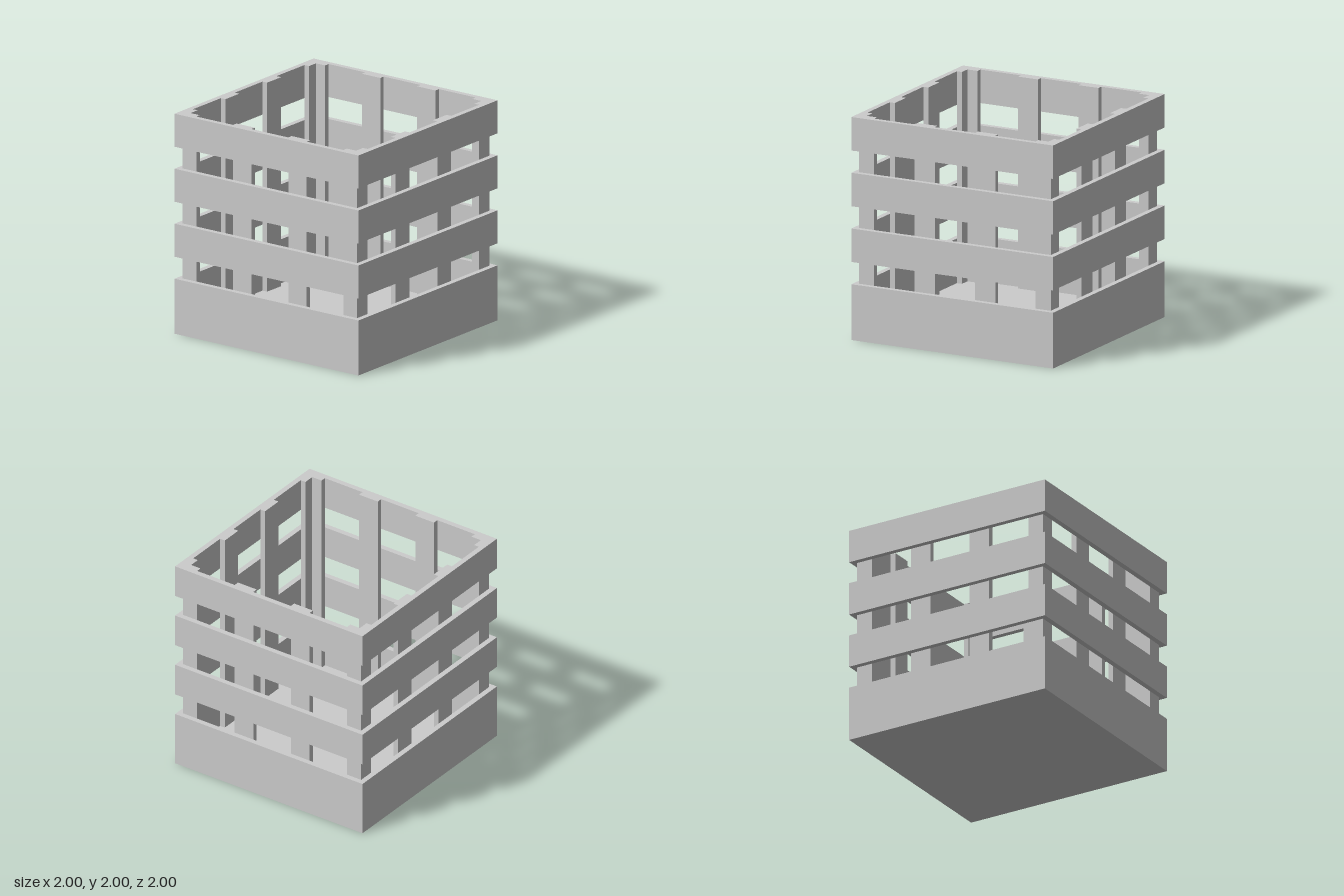
import * as THREE from 'three';

export function createModel() {
  const model = new THREE.Group();
  const material = new THREE.MeshStandardMaterial({ color: 0xcccccc, flatShading: true });
  const floorTop = 0.1;

  // Square outline, used for the floor and for the hole in each band
  const square = (Type, r) => new Type([[-r, -r], [r, -r], [r, r], [-r, r]].map(([x, y]) => new THREE.Vector2(x, y)));

  // Hollow square band between two heights
  function band(name, y0, y1) {
    const shape = square(THREE.Shape, 1);
    shape.holes.push(square(THREE.Path, 0.95));
    const geometry = new THREE.ExtrudeGeometry(shape, { depth: y1 - y0, bevelEnabled: false });
    geometry.rotateX(-Math.PI / 2).translate(0, y0, 0);
    const mesh = new THREE.Mesh(geometry, material);
    mesh.name = name;
    model.add(mesh);
  }
  band('baseWall', 0, 0.5);
  band('lowerSlat', 0.7, 1);
  band('middleSlat', 1.2, 1.5);
  band('topSlat', 1.7, 2);

  // Floor inside the base
  const floor = new THREE.Mesh(new THREE.BoxGeometry(1.9, floorTop, 1.9), material);
  floor.name = 'floor';
  floor.position.y = floorTop / 2;
  model.add(floor);

  // Upright of L-shaped or straight plan, from the floor to the rim
  function upright(name, points, parent) {
    const shape = new THREE.Shape(points.map(([x, z]) => new THREE.Vector2(x, -z)));
    const geometry = new THREE.ExtrudeGeometry(shape, { depth: 2 - floorTop, bevelEnabled: false });
    geometry.rotateX(-Math.PI / 2).translate(0, floorTop, 0);
    const mesh = new THREE.Mesh(geometry, material);
    mesh.name = name;
    parent.add(mesh);
  }

  // Each side carries two flat posts and one corner post
  ['front', 'left', 'back', 'right'].forEach((side, i) => {
    const group = new THREE.Group();
    group.name = side + 'Posts';
    for (const x of [-0.4, 0.2]) {
      upright('post', [[x, 0.95], [x + 0.2, 0.95], [x + 0.2, 0.9], [x, 0.9]], group);
    }
    upright('cornerPost', [[0.8, 0.95], [0.95, 0.95], [0.95, 0.8], [0.9, 0.8], [0.9, 0.9], [0.8, 0.9]], group);
    group.rotation.y = i * Math.PI / 2;
    model.add(group);
  });

  return model;
}
